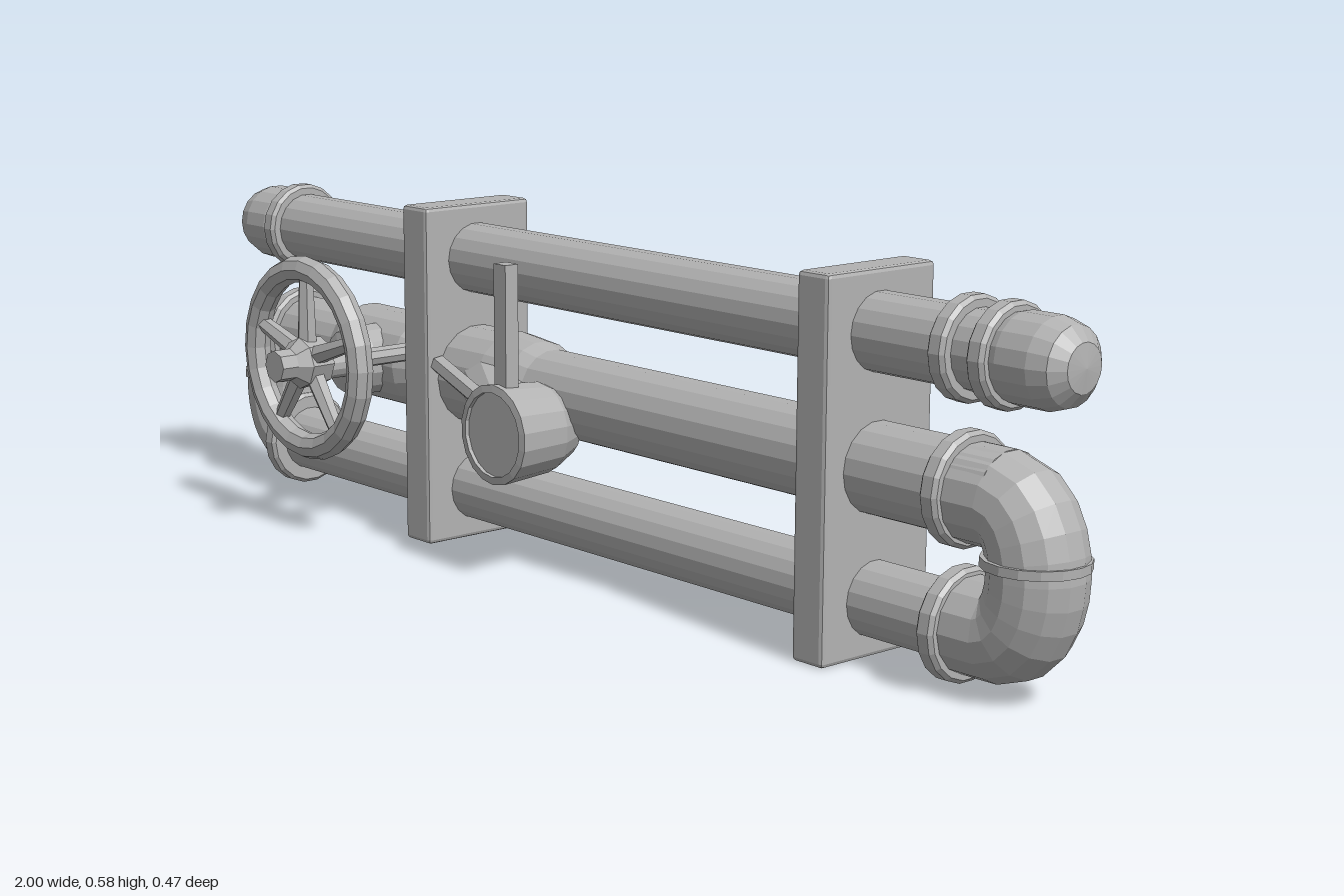
import * as THREE from 'three';
import { RoundedBoxGeometry } from 'three/addons/geometries/RoundedBoxGeometry.js';

const PIPE_Z = -0.035;

export function createModel() {
  const model = new THREE.Group();
  const metal = new THREE.MeshStandardMaterial({ color: 0xb2b2b2, flatShading: true });
  metal.name = 'grey metal';

  const add = (name, geometry, x = 0, y = 0, z = 0) => {
    const mesh = new THREE.Mesh(geometry, metal);
    mesh.name = name;
    mesh.position.set(x, y, z);
    model.add(mesh);
    return mesh;
  };
  // Turned part: profile of [radius, distance along axis]
  const turned = (profile, sides = 18) =>
    new THREE.LatheGeometry(profile.map(([r, d]) => new THREE.Vector2(r, d)), sides);
  const alongX = (name, profile, x, y) =>
    add(name, turned(profile).rotateZ(-Math.PI / 2), x, y, PIPE_Z);
  const alongZ = (name, profile, x, y, sides) =>
    add(name, turned(profile, sides).rotateX(Math.PI / 2), x, y, 0);
  // Tapered rod between two points
  const rod = (name, a, b, r0, r1, sides = 8) => {
    const from = new THREE.Vector3(...a), to = new THREE.Vector3(...b);
    const dir = to.clone().sub(from);
    const mesh = add(name, new THREE.CylinderGeometry(r1, r0, dir.length(), sides));
    mesh.position.copy(from).add(to).multiplyScalar(0.5);
    mesh.quaternion.setFromUnitVectors(new THREE.Vector3(0, 1, 0), dir.normalize());
    return mesh;
  };

  // Three parallel pipes with end collars
  const pipes = [['topPipe', 0.49, 0.06], ['middlePipe', 0.288, 0.07], ['bottomPipe', 0.09, 0.058]];
  for (const [name, y, r] of pipes) {
    alongX(name, [[0, -0.88], [r, -0.88], [r, 0.87], [0, 0.87]], 0, y);
    const c = name === 'topPipe' ? 0.078 : 0.086;
    const collar = [[r, -0.016], [c - 0.006, -0.016], [c, -0.01], [c, 0.01], [c - 0.006, 0.016], [r, 0.016]];
    alongX(name + 'LeftCollar', collar, 0.79, y);
    alongX(name + 'RightCollar', collar, -0.86, y);
    if (name === 'topPipe') alongX('topPipeCapCollar', collar, 0.862, y);
  }

  // Rounded caps on the top pipe
  const cap = [[0.062, 0], [0.067, 0.02], [0.067, 0.075], [0.058, 0.105], [0.036, 0.123], [0, 0.127]];
  alongX('leftCap', cap, 0.87, 0.49);
  alongX('rightCap', cap, -0.87, 0.49).rotation.y = Math.PI;

  // U-shaped elbows joining the middle and bottom pipes
  for (const [side, s, start] of [['left', 1, 0.79], ['right', -1, 0.855]]) {
    const path = new THREE.CurvePath();
    const p = (x, y) => new THREE.Vector3(s * x, y, PIPE_Z);
    path.add(new THREE.LineCurve3(p(start, 0.285), p(0.86, 0.285)));
    path.add(new THREE.CubicBezierCurve3(p(0.86, 0.285), p(0.947, 0.285), p(0.947, 0.092), p(0.86, 0.092)));
    path.add(new THREE.LineCurve3(p(0.86, 0.092), p(start, 0.092)));
    add(side + 'Elbow', new THREE.TubeGeometry(path, 16, 0.073, 14));
    add(side + 'ElbowSeam', new THREE.CylinderGeometry(0.079, 0.079, 0.014, 16), s * 0.921, 0.207, PIPE_Z);
  }

  // Upright brackets
  add('rightBracket', new RoundedBoxGeometry(0.068, 0.583, 0.222, 1, 0.007), -0.368, 0.2915, -0.039);
  add('leftBracket', new RoundedBoxGeometry(0.064, 0.583, 0.222, 1, 0.007), 0.583, 0.2915, -0.039);

  // Valve body crossing the middle pipe, with a wider rear cap
  alongZ('valveBody', [
    [0, -0.236], [0.058, -0.236], [0.08, -0.212], [0.08, -0.205], [0.07, -0.155], [0.062, -0.145],
    [0.062, 0.06], [0.055, 0.085], [0.026, 0.092], [0.026, 0.15], [0, 0.15],
  ], -0.56, 0.29, 14);
  alongX('valveSleeve', [[0.07, -0.12], [0.083, -0.09], [0.083, 0.09], [0.07, 0.12]], -0.56, 0.288);

  // Hand wheel
  const wx = -0.553, wy = 0.308, wz = 0.168;
  add('wheelRim', new THREE.TorusGeometry(0.156, 0.023, 8, 24), wx, wy, wz);
  alongZ('wheelHub', [[0, 0.13], [0.042, 0.14], [0.045, 0.185], [0.028, 0.205], [0.028, 0.237], [0, 0.237]], wx, wy - 0.007, 8);
  for (let i = 0; i < 5; i++) {
    const a = Math.PI / 2 + i * Math.PI * 0.4;
    rod('wheelSpoke', [wx, wy, 0.168],
      [wx + Math.cos(a) * 0.15, wy + Math.sin(a) * 0.15, wz], 0.019, 0.013, 6);
  }
  rod('wheelPeg', [-0.415, 0.325, 0.03], [-0.415, 0.325, 0.16], 0.016, 0.016);

  // Swollen junction and slanted branch leading to the gauge
  alongX('branchJunction', [[0.07, -0.14], [0.085, -0.1], [0.087, 0.02], [0.08, 0.09], [0.07, 0.12]], -0.25, 0.288);
  rod('branch', [-0.25, 0.285, -0.01], [-0.09, 0.25, 0.085], 0.065, 0.05, 12);
  rod('branchRib', [-0.33, 0.315, 0.05], [-0.13, 0.28, 0.1], 0.016, 0.016, 6);

  // Gauge drum with recessed face
  alongZ('gaugeDrum', [
    [0, 0], [0.055, 0], [0.076, 0.045], [0.083, 0.14], [0.07, 0.142], [0.07, 0.135], [0, 0.135],
  ], -0.07, 0.247, 18);

  // Lever above the gauge
  add('lever', new THREE.BoxGeometry(0.03, 0.215, 0.026), -0.065, 0.417, 0.115);

  return model;
}
